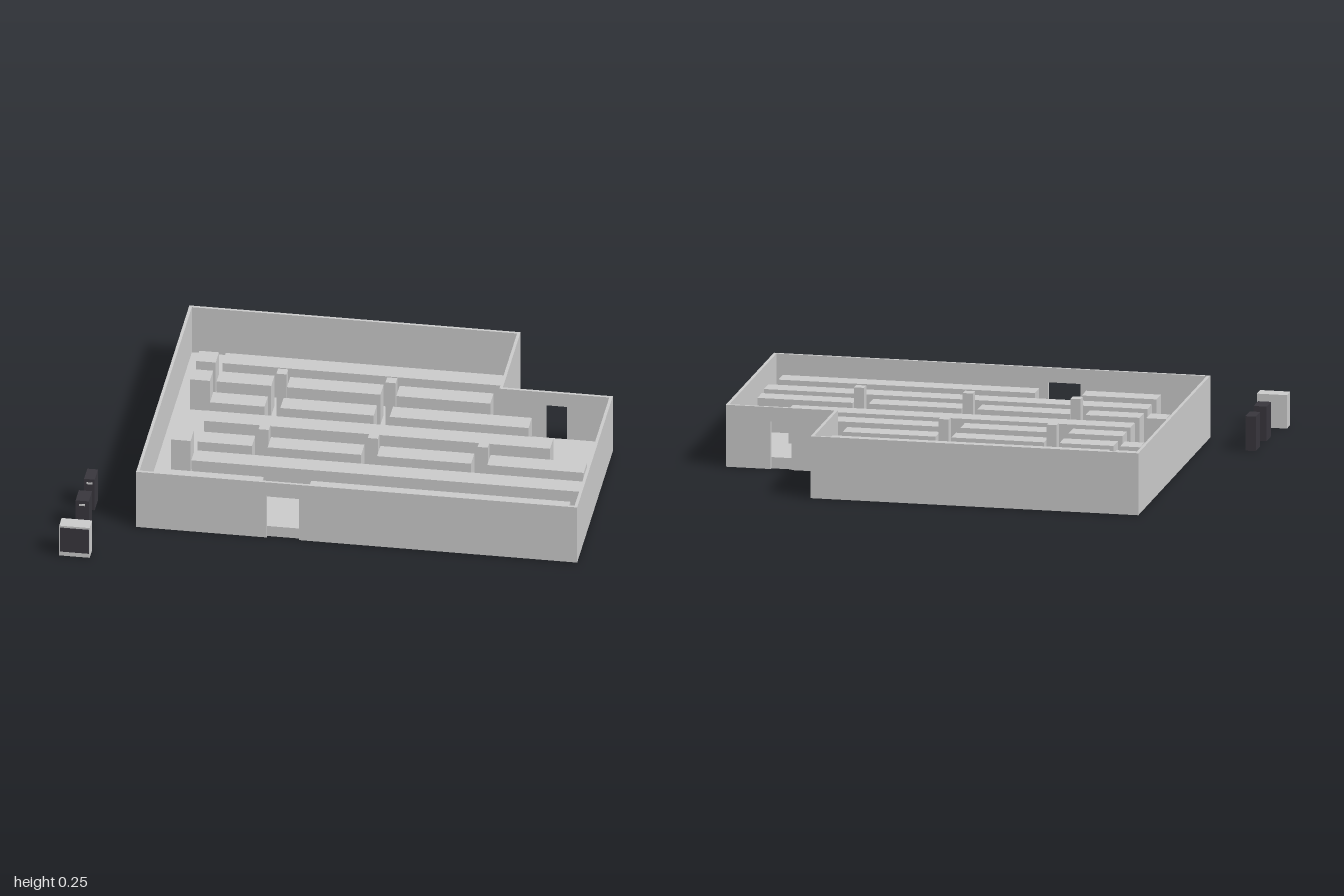
import * as THREE from 'three';

export function createModel() {
  const model = new THREE.Group();
  const grey = new THREE.MeshStandardMaterial({ color: 0xcbcbcb });
  grey.name = 'light grey';
  const dark = new THREE.MeshStandardMaterial({ color: 0x38363d });
  dark.name = 'charcoal';

  // Box given by its limits on each axis
  function box(name, x0, x1, y0, y1, z0, z1, material = grey) {
    const mesh = new THREE.Mesh(new THREE.BoxGeometry(x1 - x0, y1 - y0, z1 - z0), material);
    mesh.position.set((x0 + x1) / 2, (y0 + y1) / 2, (z0 + z1) / 2);
    mesh.name = name;
    model.add(mesh);
  }

  // L-shaped hall: outer limits, notch corner, wall thickness and heights
  const L = -0.74, R = 0.998, B = -0.787, F = 0.517, NX = 0.565, NZ = -0.355;
  const t = 0.012, H = 0.248, floorY = 0.045, doorY = 0.19;

  // Raised floor slab filling the hall between the walls
  const outline = new THREE.Shape([
    [L + t, F - t], [R - t, F - t], [R - t, NZ + t],
    [NX - t, NZ + t], [NX - t, B + t], [L + t, B + t],
  ].map(([x, z]) => new THREE.Vector2(x, -z)));
  const floor = new THREE.Mesh(
    new THREE.ExtrudeGeometry(outline, { depth: floorY, bevelEnabled: false }), grey);
  floor.rotation.x = -Math.PI / 2;
  floor.name = 'floor';
  model.add(floor);

  // Wall along x with a doorway cut down to the ground
  function doorWall(name, x0, x1, d0, d1, z0) {
    box(name + 'RightPart', x0, d0, 0, H, z0, z0 + t);
    box(name + 'LeftPart', d1, x1, 0, H, z0, z0 + t);
    box(name + 'Lintel', d0, d1, doorY, H, z0, z0 + t);
  }
  doorWall('frontWall', L, R, -0.225, -0.097, F - t);
  doorWall('notchWall', NX - t, R, 0.737, 0.819, NZ);
  box('backWall', L, NX, 0, H, B, B + t);
  box('rightWall', L, L + t, 0, H, B + t, F - t);
  box('leftWall', R - t, R, 0, H, NZ + t, F - t);
  box('notchSideWall', NX - t, NX, 0, H, B + t, NZ);

  // Shelf rows: [centre z, start x, end x, start x, end x, ...]
  const rows = [
    [-0.522, -0.665, -0.587, -0.56, 0.545],
    [-0.378, -0.665, -0.587, -0.56, -0.345, -0.283, 0.085, 0.148, 0.518],
    [-0.215, -0.56, -0.345, -0.283, 0.085, 0.148, 0.695],
    [-0.07, -0.56, 0.803],
    [0.093, -0.665, -0.587, -0.56, -0.345, -0.283, 0.085, 0.148, 0.518, 0.582, 0.962],
    [0.24, -0.56, 0.968],
    [0.402, -0.56, -0.262, -0.075, 0.946],
  ];
  for (const [z, ...ends] of rows) {
    for (let i = 0; i < ends.length; i += 2) {
      box('shelf', ends[i], ends[i + 1], floorY, 0.18, z - 0.04, z + 0.04);
    }
  }

  // Columns in the gaps between shelves
  for (const [x, z] of [[-0.304, -0.353], [0.126, -0.353], [-0.304, 0.082], [0.126, 0.082], [0.559, 0.082]]) {
    box('column', x - 0.02, x + 0.02, floorY, 0.24, z - 0.02, z + 0.02);
  }

  // Pale cabinet outside with a dark front panel
  box('cabinet', -1, -0.88, 0, 0.134, 0.722, 0.782);
  box('cabinetPanel', -0.997, -0.883, 0.02, 0.126, 0.782, 0.786, dark);

  // Two dark cabinets, each with a small pale plate on the front
  for (const [x, w, z0] of [[-0.941, 0.052, 0.506], [-0.94, 0.042, 0.336]]) {
    box('darkCabinet', x - w / 2, x + w / 2, 0, 0.138, z0, z0 + 0.08, dark);
    box('cabinetPlate', x - 0.012, x + 0.012, 0.116, 0.124, z0 + 0.08, z0 + 0.082);
  }
  return model;
}
